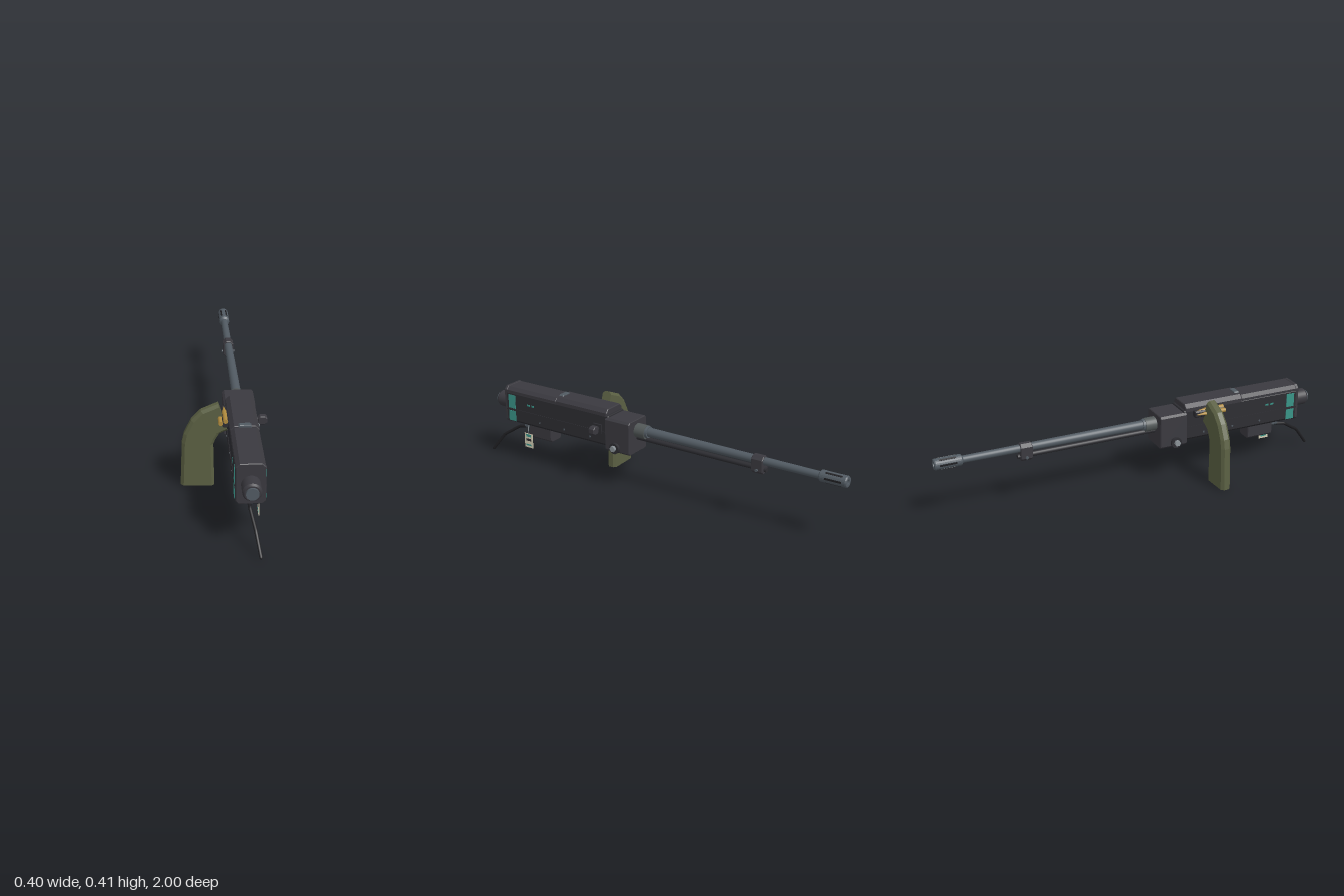
import * as THREE from 'three';

const mat = (name, color, extra = {}) => {
  const m = new THREE.MeshStandardMaterial({ color, ...extra });
  m.name = name;
  return m;
};

export function createModel() {
  const gunmetal = mat('gunmetal', 0x3a393f);
  const dark = mat('darkMetal', 0x2d2d32);
  const black = mat('blackRubber', 0x1f1f22);
  const slate = mat('slateSteel', 0x515a62);
  const collarGrey = mat('collarGrey', 0x525858);
  const bright = mat('brightSteel', 0x8b9398);
  const olive = mat('olive', 0x5b6043, { side: THREE.DoubleSide });
  const teal = mat('teal', 0x3a9488);
  const brass = mat('brass', 0xb08b3e);
  const cream = mat('cream', 0xd3cfb6);

  const model = new THREE.Group();
  model.name = 'mountedGun';
  const CX = 0.078, AXIS = 0.303;

  const add = (name, geo, material, x = 0, y = 0, z = 0) => {
    const mesh = new THREE.Mesh(geo, material);
    mesh.name = name;
    mesh.position.set(x, y, z);
    model.add(mesh);
    return mesh;
  };
  // Box given by its extents
  const box = (name, m, x0, x1, y0, y1, z0, z1) =>
    add(name, new THREE.BoxGeometry(x1 - x0, y1 - y0, z1 - z0), m, (x0 + x1) / 2, (y0 + y1) / 2, (z0 + z1) / 2);
  // Box with chamfered long edges and slightly bevelled ends, running along z
  const prism = (name, m, x0, x1, y0, y1, z0, z1, top, bottom = top, bevel = 0.003) => {
    const b = bevel, s = new THREE.Shape();
    const [l, r, d, u] = [x0 + b, x1 - b, y0 + b, y1 - b];
    [[l + bottom, d], [r - bottom, d], [r, d + bottom], [r, u - top],
      [r - top, u], [l + top, u], [l, u - top], [l, d + bottom]]
      .forEach(([x, y], i) => (i ? s.lineTo(x, y) : s.moveTo(x, y)));
    const geo = new THREE.ExtrudeGeometry(s, {
      depth: z1 - z0 - 2 * b, bevelEnabled: true, bevelSegments: 1, bevelSize: b, bevelThickness: b,
    });
    return add(name, geo, m, 0, 0, z0 + b);
  };
  // Cylinders along z and along x
  const rodZ = (name, m, rBack, rFront, z0, z1, x, y, sides = 24) =>
    add(name, new THREE.CylinderGeometry(rFront, rBack, z1 - z0, sides).rotateX(Math.PI / 2), m, x, y, (z0 + z1) / 2);
  const rodX = (name, m, r, x0, x1, y, z, sides = 20) =>
    add(name, new THREE.CylinderGeometry(r, r, Math.abs(x1 - x0), sides).rotateZ(Math.PI / 2), m, (x0 + x1) / 2, y, z);

  // Receiver, top covers and end plate
  prism('receiver', dark, 0.014, 0.142, 0.203, 0.362, 0.225, 0.86, 0.004, 0.012);
  prism('feedCover', gunmetal, 0.014, 0.142, 0.352, 0.391, 0.235, 0.545, 0.016, 0.001);
  prism('rearCover', gunmetal, 0.016, 0.14, 0.352, 0.386, 0.545, 0.862, 0.014, 0.001);
  prism('endPlate', gunmetal, 0.015, 0.141, 0.2, 0.388, 0.855, 0.873, 0.015, 0.012);
  prism('coverLatch', slate, 0.05, 0.107, 0.38, 0.397, 0.522, 0.548, 0.005, 0.001, 0.002);

  // Trunnion block
  prism('trunnionBlock', gunmetal, 0.006, 0.15, 0.187, 0.354, 0.098, 0.24, 0.008);

  // Matching details on both sides: rail, painted bands, marks, rivets, pivot bolts
  for (const s of [-1, 1]) {
    const side = (d) => CX + s * d;
    const plate = (name, m, d0, d1, y0, y1, z0, z1) =>
      box(name, m, Math.min(side(d0), side(d1)), Math.max(side(d0), side(d1)), y0, y1, z0, z1);
    plate('sideRail', dark, 0.06, 0.0665, 0.268, 0.277, 0.235, 0.86);
    plate('upperTealBand', teal, 0.063, 0.0662, 0.28, 0.35, 0.803, 0.846);
    plate('lowerTealBand', teal, 0.063, 0.0662, 0.213, 0.266, 0.803, 0.846);
    for (const z of [0.682, 0.709]) plate('tealMark', teal, 0.063, 0.065, 0.309, 0.318, z, z + 0.017);
    for (const z of [0.335, 0.495, 0.65]) rodX('rivet', slate, 0.005, side(0.062), side(0.0655), 0.235, z, 10);
    rodX('pivotCollar', dark, 0.027, side(0.068), side(0.086), 0.213, 0.178);
    rodX('pivotBolt', bright, 0.015, side(0.084), side(0.1), 0.215, 0.178, 6);
  }

  // Rear buffer
  rodZ('bufferBody', gunmetal, 0.041, 0.041, 0.865, 0.938, CX, 0.293, 32);
  rodZ('bufferRim', gunmetal, 0.041, 0.034, 0.938, 0.948, CX, 0.293, 32);
  rodZ('bufferCap', slate, 0.028, 0.027, 0.94, 0.957, CX, 0.293, 32);

  // Barrel with collar, gas tube and gas block
  rodZ('barrelCollar', collarGrey, 0.034, 0.034, 0.042, 0.1, CX, 0.3);
  rodZ('collarRing', slate, 0.028, 0.03, 0.03, 0.043, CX, 0.302);
  rodZ('barrel', slate, 0.017, 0.023, -0.88, 0.1, CX, AXIS);
  rodZ('gasTube', dark, 0.012, 0.012, -0.56, 0.1, CX, 0.264, 16);
  prism('gasBlock', gunmetal, 0.052, 0.104, 0.242, 0.327, -0.594, -0.536, 0.014, 0.012);
  rodZ('gasPlug', dark, 0.011, 0.011, -0.605, -0.59, CX, 0.262, 12);
  rodX('gasBlockPin', slate, 0.007, 0.045, 0.111, 0.262, -0.567, 10);

  // Hollow muzzle device with dark slots
  const profile = [[0.017, 0.865], [0.027, 0.873], [0.027, 0.994], [0.024, 1], [0.012, 1], [0.012, 0.93], [0, 0.93]]
    .map(([r, y]) => new THREE.Vector2(r, y));
  const muzzle = new THREE.LatheGeometry(profile, 24).rotateX(-Math.PI / 2).toNonIndexed();
  muzzle.computeVertexNormals();
  add('muzzleDevice', muzzle, slate, CX, AXIS, 0);
  rodZ('bore', black, 0.0115, 0.0115, -0.975, -0.95, CX, AXIS, 16);
  for (let i = 0; i < 6; i++) {
    const a = (i / 6) * Math.PI * 2;
    const slot = add('muzzleSlot', new THREE.BoxGeometry(0.004, 0.009, 0.08), black,
      CX + Math.cos(a) * 0.0255, AXIS + Math.sin(a) * 0.0255, -0.937);
    slot.rotation.z = a;
  }

  // Charging handle on the left
  box('handleBase', dark, 0.138, 0.15, 0.268, 0.312, 0.262, 0.31);
  rodX('handleNeck', dark, 0.012, 0.14, 0.165, 0.29, 0.284, 12);
  const knob = prism('handleKnob', gunmetal, 0.158, 0.2, 0.27, 0.31, 0.268, 0.3, 0.008);
  knob.material = gunmetal;

  // Feed opening and cartridges on the right
  prism('feedLip', dark, -0.012, 0.018, 0.326, 0.36, 0.275, 0.43, 0.005);
  for (const [x, y] of [[-0.02, 0.347], [0.002, 0.357]]) {
    rodZ('cartridgeCase', brass, 0.0105, 0.0105, 0.33, 0.432, x, y, 12);
    rodZ('cartridgeTip', brass, 0.002, 0.0085, 0.28, 0.33, x, y, 12);
  }

  // Curved feed chute: chamfered sections between an outer and an inner edge
  const stations = [
    [-0.199, 0.009, -0.046, 0.003], [-0.191, 0.222, -0.05, 0.214], [-0.181, 0.268, -0.041, 0.236],
    [-0.148, 0.335, -0.024, 0.264], [-0.105, 0.38, -0.004, 0.274], [-0.028, 0.413, 0.014, 0.281],
  ];
  const pos = [], idx = [], C = 0.013, A = 0.012, H = 0.025;
  for (const [ox, oy, ix, iy] of stations) {
    const w = Math.hypot(ix - ox, iy - oy), dx = (ix - ox) / w, dy = (iy - oy) / w;
    for (const [t, z] of [[0, -A], [0, A], [C, H], [w - C, H], [w, A], [w, -A], [w - C, -H], [C, -H]])
      pos.push(ox + dx * t, oy + dy * t, 0.353 + z);
  }
  const last = (stations.length - 1) * 8;
  for (let k = 0; k < last; k += 8)
    for (let j = 0; j < 8; j++) {
      const a = k + j, b = k + (j + 1) % 8;
      idx.push(a, b, b + 8, a, b + 8, a + 8);
    }
  for (let j = 1; j < 7; j++) idx.push(0, j + 1, j, last, last + j, last + j + 1);
  const indexed = new THREE.BufferGeometry();
  indexed.setAttribute('position', new THREE.Float32BufferAttribute(pos, 3));
  indexed.setIndex(idx);
  const chute = indexed.toNonIndexed();
  chute.computeVertexNormals();
  add('feedChute', chute, olive);

  // Solenoid housing below the rear, with its connector
  prism('solenoidBox', gunmetal, 0.038, 0.118, 0.133, 0.21, 0.6, 0.74, 0.004, 0.008);
  prism('cableConnector', slate, 0.045, 0.111, 0.172, 0.205, 0.73, 0.778, 0.003, 0.01);

  // Loose cable made of straight lengths
  const path = new THREE.CurvePath();
  const pts = [[0.076, 0.174, 0.74], [0.078, 0.16, 0.835], [0.096, 0.102, 0.925], [0.113, 0.014, 0.992]]
    .map((p) => new THREE.Vector3(...p));
  for (let i = 0; i < 3; i++) path.add(new THREE.LineCurve3(pts[i], pts[i + 1]));
  add('cable', new THREE.TubeGeometry(path, 24, 0.0075, 8), black);
  add('cableEnd', new THREE.SphereGeometry(0.0075, 8, 6), black, 0.113, 0.014, 0.992);

  // Hanging tag
  box('tagCord', bright, 0.122, 0.124, 0.148, 0.2, 0.741, 0.744);
  box('tag', cream, 0.121, 0.124, 0.077, 0.152, 0.717, 0.768);
  for (const [y0, y1, m] of [[0.135, 0.148, teal], [0.113, 0.125, dark], [0.087, 0.095, teal]])
    box('tagStripe', m, 0.1203, 0.1247, y0, y1, 0.727, 0.758);

  return model;
}
